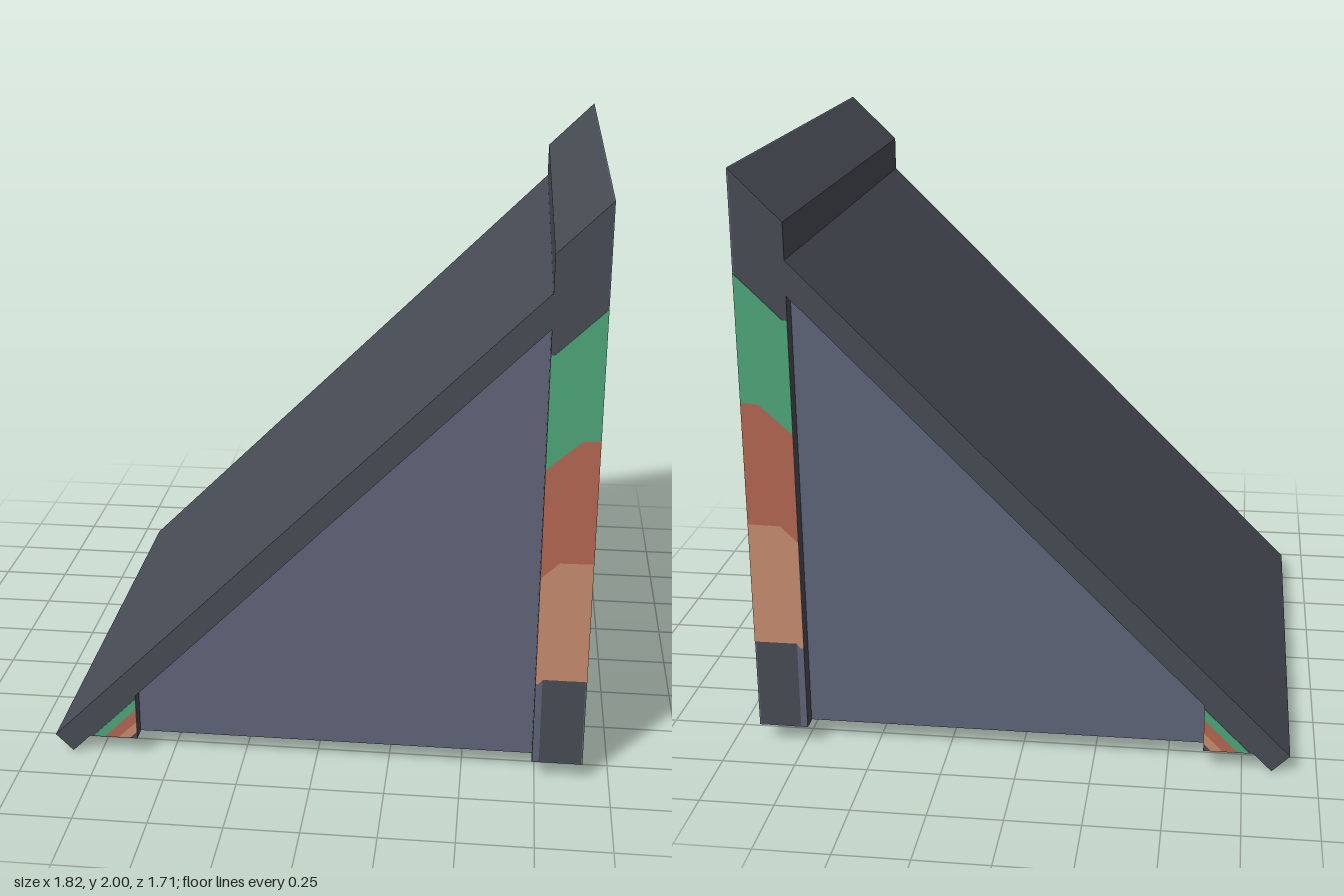
import * as THREE from 'three';

const HALF = 0.85; // half depth of the outer parts
const SKIN = 0.003; // thickness of painted plates

const mat = (name, color) => {
  const m = new THREE.MeshStandardMaterial({ color });
  m.name = name;
  return m;
};

export function createModel() {
  const slate = mat('slate', 0x60667a);
  const trim = mat('darkTrim', 0x484d55);
  const green = mat('green', 0x4fa87c);
  const red = mat('red', 0xb86853);
  const orange = mat('orange', 0xca8e70);

  const model = new THREE.Group();
  model.name = 'wedge';

  // Extrudes an x-y outline between two depths
  const prism = (name, points, z0, z1, material) => {
    const shape = new THREE.Shape(points.map(([x, y]) => new THREE.Vector2(x, y)));
    const geo = new THREE.ExtrudeGeometry(shape, { depth: z1 - z0, bevelEnabled: false });
    geo.translate(0, 0, z0);
    const mesh = new THREE.Mesh(geo, material);
    mesh.name = name;
    model.add(mesh);
  };
  // Thin painted plate on both the front and the back end
  const paint = (name, points, material) => {
    prism(name + 'Front', points, HALF - SKIN, HALF + SKIN, material);
    prism(name + 'Back', points, -HALF - SKIN, -HALF + SKIN, material);
  };

  // Main structure: recessed core, sloping slab, tall post and small toe
  prism('core', [[-0.63, 0.065], [0.75, 0.065], [0.75, 1.61], [-0.63, 0.23]], -0.8, 0.8, slate);
  prism('slopeSlab', [[-0.91, 0.06], [-0.85, 0], [0.745, 1.6], [0.745, 1.715]], -HALF, HALF, trim);
  prism('post', [[0.74, 0.065], [0.907, 0.065], [0.907, 1.997], [0.74, 1.832]], -HALF, HALF, trim);
  prism('toe', [[-0.79, 0.065], [-0.62, 0.065], [-0.62, 0.235]], -HALF, HALF, trim);

  // Slate facing on the tall end and under the post and toe
  prism('endFacing', [[0.905, 0.063], [0.91, 0.063], [0.91, 2], [0.905, 1.995]], -HALF, HALF, slate);
  prism('postBase', [[0.74, 0.062], [0.91, 0.062], [0.91, 0.066], [0.74, 0.066]], -HALF, HALF, slate);
  prism('toeBase', [[-0.79, 0.062], [-0.62, 0.062], [-0.62, 0.066], [-0.79, 0.066]], -HALF, HALF, slate);

  // Colour bands on the post ends
  const top = [[0.74, 1.515], [0.755, 1.515], [0.91, 1.665]];
  const upper = [[0.74, 1.13], [0.85, 1.23], [0.91, 1.235]];
  const lower = [[0.74, 0.75], [0.8, 0.808], [0.91, 0.81]];
  const base = [[0.74, 0.365], [0.75, 0.362], [0.765, 0.38], [0.91, 0.38]];
  const band = (a, b) => [...a, ...[...b].reverse()];
  paint('postGreenBand', band(upper, top), green);
  paint('postRedBand', band(lower, upper), red);
  paint('postOrangeBand', band(base, lower), orange);
  paint('postEdgeStrip', [[0.74, 0.065], [0.763, 0.065], [0.763, 0.378], [0.75, 0.362], [0.74, 0.365]], slate);

  // Diagonal stripes on the toe ends
  const stripe = (a, b) => [
    [a, 0.065], [b, 0.065], [-0.62, 0.065 - 0.62 - b], [-0.62, 0.065 - 0.62 - a],
  ];
  paint('toeGreenStripe', stripe(-0.775, -0.735), green);
  paint('toeRedStripe', stripe(-0.735, -0.685), red);
  paint('toeOrangeStripe', stripe(-0.685, -0.645), orange);

  return model;
}
